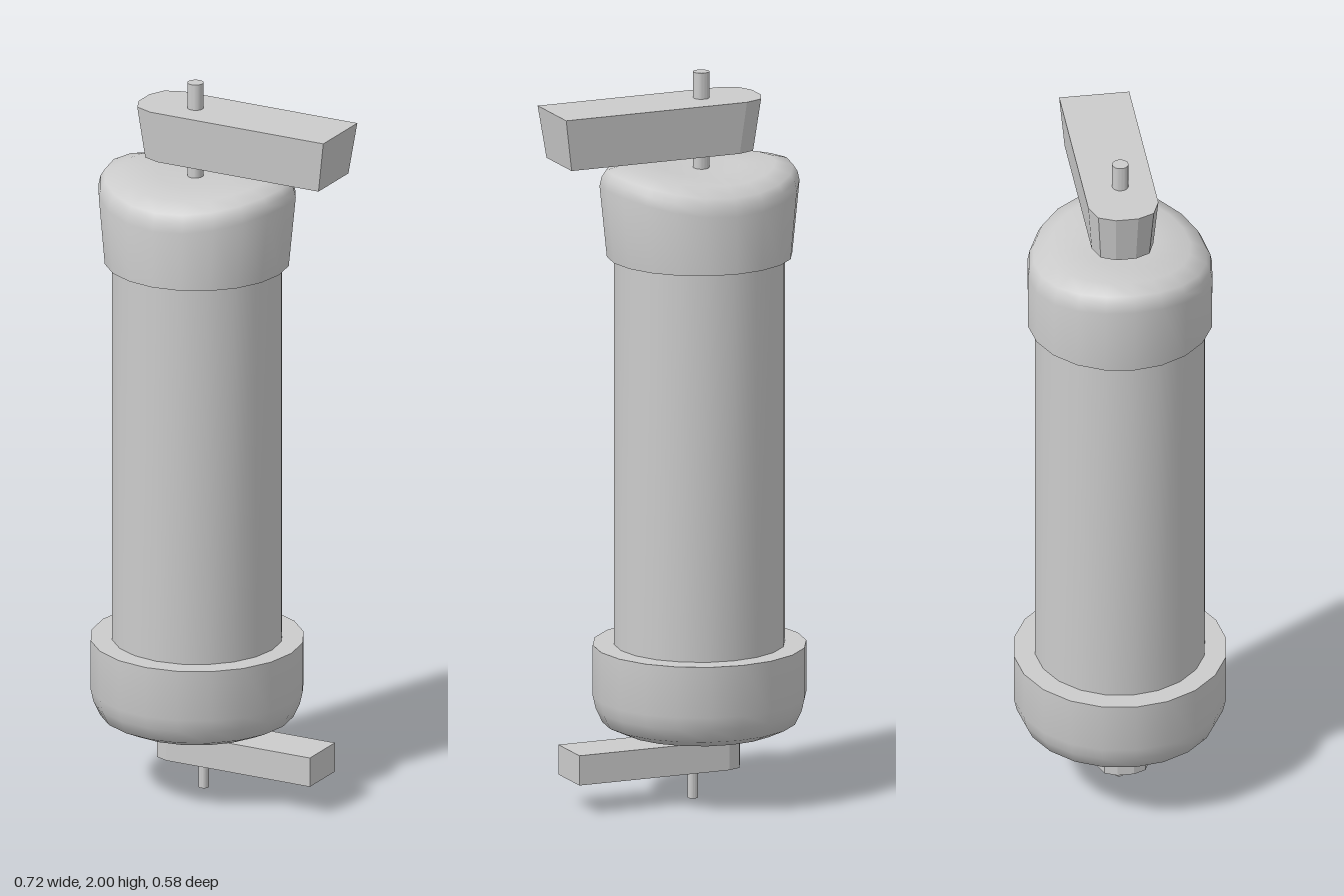
import * as THREE from 'three';
import { toCreasedNormals } from 'three/addons/utils/BufferGeometryUtils.js';

const SIDES = 20;
const AXIS_X = -0.075;
const material = new THREE.MeshStandardMaterial({ color: 0xcccccc });

function lathe(profile) {
  return new THREE.LatheGeometry(profile.map(([r, y]) => new THREE.Vector2(r, y)), SIDES);
}

// Moves every vertex by a rule that edits the vector in place
function reshape(geometry, rule) {
  const pos = geometry.attributes.position;
  const v = new THREE.Vector3();
  for (let i = 0; i < pos.count; i++) {
    rule(v.fromBufferAttribute(pos, i));
    pos.setXYZ(i, v.x, v.y, v.z);
  }
  return geometry;
}

// Crank arm: bar with one chamfered-round end, tapering toward its bottom face
function armGeometry(x0, x1, halfWidth, y0, y1, taperX, taperZ) {
  const w = halfWidth, k = w / 0.095;
  const half = [[x1, w], [x0 + 0.07 * k, w], [x0 + 0.02 * k, w * 0.79], [x0, w * 0.32]];
  const outline = [...half, ...half.map(([x, z]) => [x, -z]).reverse()];
  const shape = new THREE.Shape(outline.map(([x, z]) => new THREE.Vector2(x, z)));
  const geo = new THREE.ExtrudeGeometry(shape, { depth: y1 - y0, bevelEnabled: false });
  geo.rotateX(-Math.PI / 2).translate(0, y0, 0);
  const cx = (x0 + x1) / 2;
  return reshape(geo, v => {
    if (v.y < (y0 + y1) / 2) {
      v.x = cx + (v.x - cx) * taperX;
      v.z *= taperZ;
    }
  });
}

export function createModel() {
  const group = new THREE.Group();
  const add = (name, geometry, crease, x = 0, y = 0, z = 0) => {
    const mesh = new THREE.Mesh(toCreasedNormals(geometry, crease), material);
    mesh.name = name;
    mesh.position.set(x, y, z);
    group.add(mesh);
  };

  // Main barrel
  add('barrel', new THREE.CylinderGeometry(0.23, 0.23, 1.2, SIDES), 0.6, AXIS_X, 0.98);

  // Bottom cup with a rounded lower edge
  add('bottomCup', lathe([
    [0, 0.19], [0.215, 0.19], [0.262, 0.212], [0.28, 0.25], [0.288, 0.285],
    [0.288, 0.425], [0.22, 0.425],
  ]), 0.75, AXIS_X);

  // Top cap: flares sideways and has a saddle-shaped crown
  const cap = lathe([
    [0.22, 1.495], [0.25, 1.495], [0.25, 1.675], [0.245, 1.7], [0.234, 1.72],
    [0.19, 1.738], [0.1, 1.738], [0, 1.735],
  ]);
  reshape(cap, v => {
    const rise = THREE.MathUtils.clamp((v.y - 1.5) / 0.17, 0, 1);
    v.y += rise * 0.022 * (v.x * v.x - v.z * v.z) / 0.0625;
    v.x *= 1 + 0.09 * rise;
  });
  add('topCap', cap, 0.9, AXIS_X);

  // Arms above and below
  add('topArm', armGeometry(-0.24, 0.36, 0.095, 1.785, 1.928, 0.93, 0.88), 0.3, 0, 0, -0.005);
  add('bottomArm', armGeometry(-0.183, 0.308, 0.07, 0.083, 0.165, 1, 1), 0.3);

  // Axle pins
  add('topPin', new THREE.CylinderGeometry(0.022, 0.022, 0.28, 16), 0.6, -0.08, 1.86);
  add('bottomPin', new THREE.CylinderGeometry(0.014, 0.014, 0.2, 16), 0.6, -0.055, 0.1);

  return group;
}
